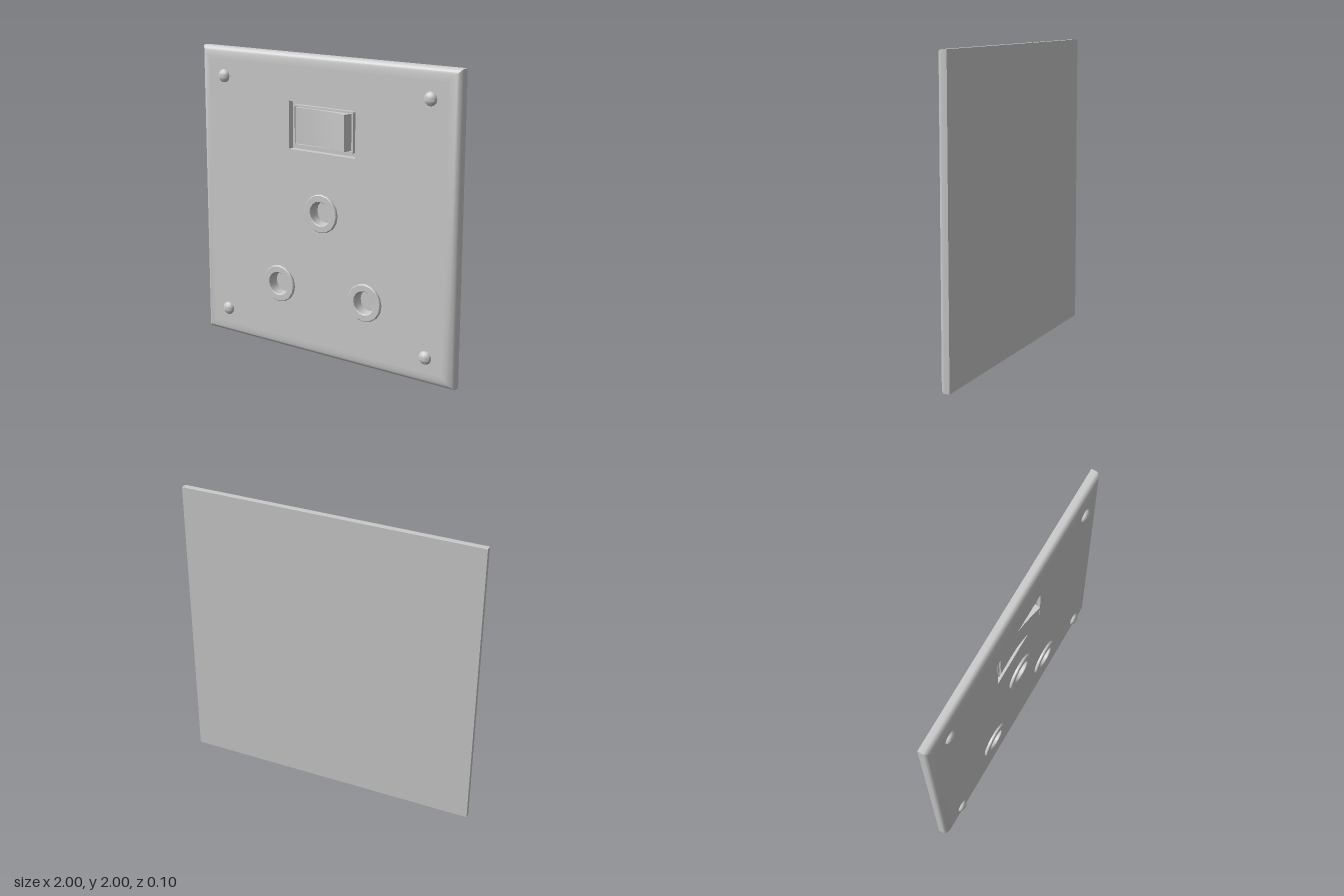
import * as THREE from 'three';
import { toCreasedNormals } from 'three/addons/utils/BufferGeometryUtils.js';

const BACK = -0.052, FACE = 0.022, EDGE = 0.925;
const material = new THREE.MeshStandardMaterial({ color: 0xcccccc });

function addMesh(parent, name, geometry, x = 0, y = 0, z = 0) {
  const mesh = new THREE.Mesh(geometry, material);
  mesh.name = name;
  mesh.position.set(x, y, z);
  parent.add(mesh);
  return mesh;
}

// Lathe turned so that its axis points to the front (+z)
function lathe(points, segments, start = 0, crease = 0.6) {
  const g = new THREE.LatheGeometry(points.map(p => new THREE.Vector2(...p)), segments, start);
  g.rotateX(Math.PI / 2);
  return toCreasedNormals(g, crease);
}

function rect(Type, x0, x1, y0, y1) {
  return new Type([[x0, y0], [x1, y0], [x1, y1], [x0, y1]].map(p => new THREE.Vector2(...p)));
}

function roundedRect(w, h, r) {
  const s = new THREE.Shape();
  s.absarc(w - r, h - r, r, 0, Math.PI / 2);
  s.absarc(r - w, h - r, r, Math.PI / 2, Math.PI);
  s.absarc(r - w, r - h, r, Math.PI, Math.PI * 1.5);
  s.absarc(w - r, r - h, r, Math.PI * 1.5, Math.PI * 2);
  s.closePath();
  return s;
}

export function createModel() {
  const group = new THREE.Group();
  group.name = 'wallSocket';
  const sockets = [[0, 0.985, 0.128], [-0.345, 0.45, 0.126], [0.345, 0.45, 0.126]];

  // Square back and rounded rim of the plate: a four-sided lathe
  const profile = [[0, BACK], [1, BACK], [1, -0.018]];
  for (let i = 1; i <= 8; i++) {
    const a = (i / 8) * Math.PI / 2;
    profile.push([EDGE + (1 - EDGE) * Math.cos(a), -0.018 + (FACE + 0.018) * Math.sin(a)]);
  }
  addMesh(group, 'plateRim',
    lathe(profile.map(([r, z]) => [r * Math.SQRT2, z]), 4, Math.PI / 4), 0, 1, 0);

  // Flat front of the plate, open at the switch and the sockets
  const face = rect(THREE.Shape, -EDGE, EDGE, 1 - EDGE, 1 + EDGE);
  face.holes.push(rect(THREE.Path, -0.26, 0.26, 1.38, 1.695));
  for (const [x, y, r] of sockets) {
    face.holes.push(new THREE.Path().absarc(x, y, r - 0.02, 0, Math.PI * 2));
  }
  addMesh(group, 'plateFace', new THREE.ShapeGeometry(face, 16), 0, 0, FACE);

  // Switch: recess walls and floor, frame and rocker
  const switchGroup = new THREE.Group();
  switchGroup.name = 'switch';
  switchGroup.position.set(0, 1.5375, 0);
  group.add(switchGroup);

  const floor = -0.02, hw = 0.26, hh = 0.1575;
  addMesh(switchGroup, 'recessFloor', new THREE.PlaneGeometry(hw * 2, hh * 2), 0, 0, floor);
  for (const s of [-1, 1]) {
    const depth = FACE - floor, mid = (FACE + floor) / 2;
    addMesh(switchGroup, 'recessSide', new THREE.PlaneGeometry(depth, hh * 2), s * hw, 0, mid)
      .rotation.y = -s * Math.PI / 2;
    addMesh(switchGroup, 'recessEnd', new THREE.PlaneGeometry(hw * 2, depth), 0, s * hh, mid)
      .rotation.x = s * Math.PI / 2;
  }

  const frame = roundedRect(0.235, 0.134, 0.015);
  frame.holes.push(rect(THREE.Path, -0.222, 0.222, -0.122, 0.122));
  addMesh(switchGroup, 'switchFrame',
    new THREE.ExtrudeGeometry(frame, { depth: 0.03, bevelEnabled: false, curveSegments: 4 }), 0, 0, floor);

  // Rocker outline in x and z: dished, with the right end raised
  const outline = new THREE.Shape([
    [-0.212, floor], [0.214, floor], [0.197, 0.052], [0.13, 0.036],
    [0.06, 0.022], [-0.02, 0.012], [-0.11, 0.01], [-0.212, 0.014],
  ].map(p => new THREE.Vector2(...p)));
  const rocker = new THREE.ExtrudeGeometry(outline, { depth: 0.236, bevelEnabled: false });
  rocker.translate(0, 0, -0.118).rotateX(Math.PI / 2);
  // The turn puts the outline's height on +z
  addMesh(switchGroup, 'rocker', toCreasedNormals(rocker, 0.4));

  // Socket rings, each with a blind pin hole
  for (const [x, y, r] of sockets) {
    const hole = r - 0.049;
    addMesh(group, 'pinSocket', lathe([
      [r, FACE - 0.004], [r, 0.035], [r - 0.005, 0.04], [hole + 0.004, 0.04],
      [hole, 0.036], [hole - 0.004, -0.035], [0, -0.035],
    ], 16), x, y);
  }

  // Domed screw heads in the corners
  const dome = [];
  for (let i = 0; i <= 6; i++) {
    const a = (i / 6) * Math.PI / 2;
    dome.push([0.044 * Math.cos(a), 0.03 * Math.sin(a)]);
  }
  for (const x of [-0.8, 0.8]) {
    for (const y of [0.18, 1.81]) {
      addMesh(group, 'screwHead', lathe(dome, 20, 0, 1), x, y, FACE);
    }
  }
  return group;
}
